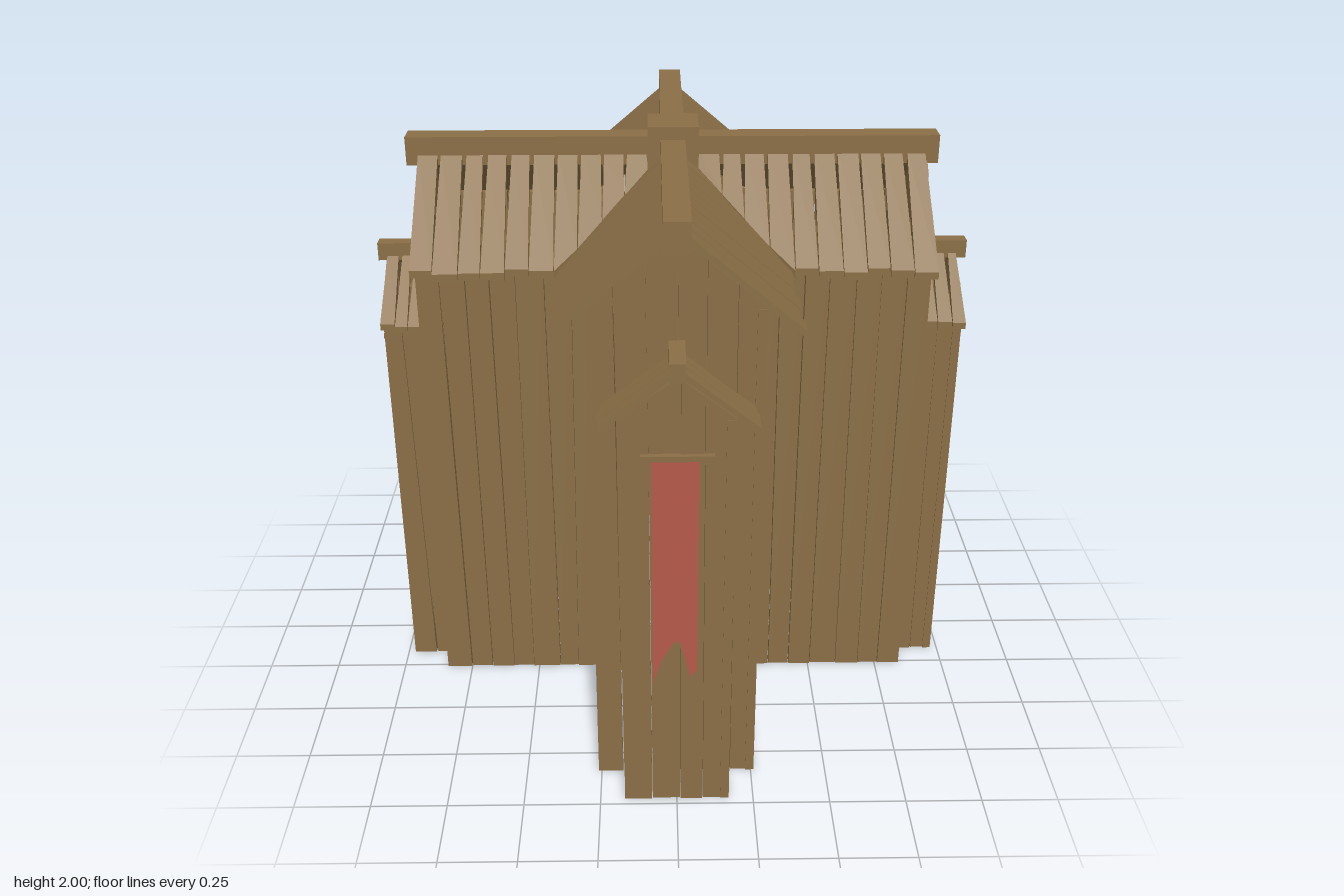
import * as THREE from 'three';
import { mergeGeometries } from 'three/addons/utils/BufferGeometryUtils.js';

const wood = new THREE.MeshStandardMaterial({ color: 0x8b6f47, flatShading: true });
const cloth = new THREE.MeshStandardMaterial({ color: 0xb55a4a, side: THREE.DoubleSide });

let seed = 7;
const rnd = () => (seed = (seed * 16807) % 2147483647) / 2147483647;

function named(geometry, name, material = wood) {
  const mesh = new THREE.Mesh(geometry, material);
  mesh.name = name;
  return mesh;
}

function beam(name, x0, x1, y0, y1, z0, z1) {
  const g = new THREE.BoxGeometry(x1 - x0, y1 - y0, z1 - z0);
  g.translate((x0 + x1) / 2, (y0 + y1) / 2, (z0 + z1) / 2);
  return named(g, name);
}

// Unit box reshaped by a rule; s = -1 mirrors it across x without turning it inside out
function warp(rule, s = 1) {
  const g = new THREE.BoxGeometry(1, 1, 1);
  const p = g.attributes.position;
  for (let i = 0; i < p.count; i++) {
    const [x, y, z] = rule(s * p.getX(i) + 0.5, p.getY(i) + 0.5, p.getZ(i) + 0.5);
    p.setXYZ(i, s * x, y, z);
  }
  g.computeVertexNormals();
  return g;
}

// Seams between planks: each has its own place at the bottom and at the top
function seams(from, to, n, wobble) {
  return Array.from({ length: n + 1 }, (_, i) => {
    const u = from + ((to - from) * i) / n;
    const inner = i > 0 && i < n ? wobble : 0;
    return { low: u + (rnd() - 0.5) * inner, high: u + (rnd() - 0.5) * inner };
  });
}

// Upright planks across x, outer face at z = depth, tops following top(x)
function plankWall(name, from, to, n, depth, top) {
  const s = seams(from, to, n, 0.025);
  const parts = [];
  for (let i = 0; i < n; i++) {
    const gapL = i ? 0.001 + rnd() * 0.004 : 0;
    const gapR = i < n - 1 ? 0.001 + rnd() * 0.004 : 0;
    const set = i % 2 ? 0.004 : 0;
    parts.push(warp((a, b, c) => {
      const end = b ? 'high' : 'low';
      const x = a ? s[i + 1][end] - gapR * b : s[i][end] + gapL * (1 - b);
      return [x, b * top(x), depth - set - 0.028 * (1 - c)];
    }));
  }
  // The centre plank of a gable comes to a point only when a seam lies on the ridge
  return named(mergeGeometries(parts), name);
}

// One roof slope: planks running from ridge to eave, cut along the valley where x = z
function roofSlope(name, side, { from, to, n, peak, pitch, ridge, eave, thick, valley }) {
  const s = seams(from, to, n, 0.006);
  const parts = [];
  for (let i = 0; i < n; i++) {
    const reach = eave + (rnd() - 0.5) * 0.014;
    const gap = 0.004 + rnd() * 0.006;
    const lift = (rnd() - 0.5) * 0.008;
    parts.push(warp((a, b, c) => {
      const g = a ? 0.001 : gap;
      const z = c ? s[i + 1].low - g : s[i].low + g;
      const x = a ? (valley ? Math.min(reach, Math.max(z, ridge + 0.005)) : reach) : ridge;
      return [x, peak - pitch * x - thick * (1 - b) + lift * a, z];
    }, side));
  }
  return named(mergeGeometries(parts), name);
}

// Hanging cloth with a swallow-tail end, on a wooden rod
function banner(side) {
  const group = new THREE.Group();
  group.name = 'banner';
  const outline = [[-0.076, 1.27], [-0.076, 0.47], [-0.05, 0.56], [-0.01, 0.63],
    [0.01, 0.63], [0.04, 0.5], [0.062, 0.52], [0.064, 1.27]];
  const shape = new THREE.Shape(outline.map(([x, y]) => new THREE.Vector2(side * x, y)));
  const sheet = named(new THREE.ExtrudeGeometry(shape, { depth: 0.003, bevelEnabled: false }), 'bannerCloth', cloth);
  sheet.position.z = 0.978;
  group.add(sheet, beam('bannerRod', -0.108, 0.108, 1.27, 1.288, 0.97, 0.99));
  return group;
}

// One arm of the cross-shaped hall, facing +z
function arm(side) {
  const group = new THREE.Group();
  group.name = 'hallArm';
  const mainUnder = (x) => 1.905 - 0.85 * Math.abs(x);
  const porchUnder = (x) => 1.535 - 0.8 * Math.abs(x);

  // Gable walls
  group.add(plankWall('mainGable', -0.26, 0.26, 6, 0.84, mainUnder));
  group.add(plankWall('porchGable', -0.17, 0.17, 4, 0.975, porchUnder));

  for (const s of [1, -1]) {
    // Side walls
    const [a, b] = s > 0 ? [-0.84, -0.26] : [0.26, 0.84];
    const [c, d] = s > 0 ? [-0.975, -0.84] : [0.84, 0.975];
    const mainWall = plankWall('mainSideWall', a, b, 7, 0.26, () => 1.68);
    const porchWall = plankWall('porchSideWall', c, d, 2, 0.17, () => 1.395);
    mainWall.rotation.y = porchWall.rotation.y = (s * Math.PI) / 2;
    group.add(mainWall, porchWall);

    // Corner posts inside the walls
    for (const [x, z, h] of [[0.215, 0.795, 1.66], [0.215, 0.26, 1.66], [0.127, 0.93, 1.38]]) {
      group.add(beam('cornerPost', s * x - 0.033, s * x + 0.033, 0, h, z - 0.033, z + 0.033));
    }

    // Roofs
    group.add(roofSlope('mainRoof', s, {
      from: 0.08, to: 0.84, n: 10, peak: 1.93, pitch: 0.85,
      ridge: 0.03, eave: 0.37, thick: 0.025, valley: true,
    }));
    group.add(roofSlope('porchRoof', s, {
      from: 0.835, to: 0.975, n: 3, peak: 1.56, pitch: 0.8,
      ridge: 0.012, eave: 0.235, thick: 0.022, valley: false,
    }));
  }

  // Ridge beams
  group.add(beam('mainRidgeBeam', -0.04, 0.04, 1.863, 1.957, 0.08, 0.875));
  group.add(beam('porchRidgeBeam', -0.024, 0.024, 1.525, 1.586, 0.82, 1));
  group.add(banner(side));
  return group;
}

export function createModel() {
  seed = 7;
  const model = new THREE.Group();
  model.name = 'plankHall';
  for (let i = 0; i < 4; i++) {
    const part = arm(i % 2 ? -1 : 1);
    part.rotation.y = (i * Math.PI) / 2;
    model.add(part);
  }
  // Block where the ridge beams meet
  model.add(beam('ridgeBlock', -0.083, 0.083, 1.86, 2, -0.083, 0.083));
  return model;
}
